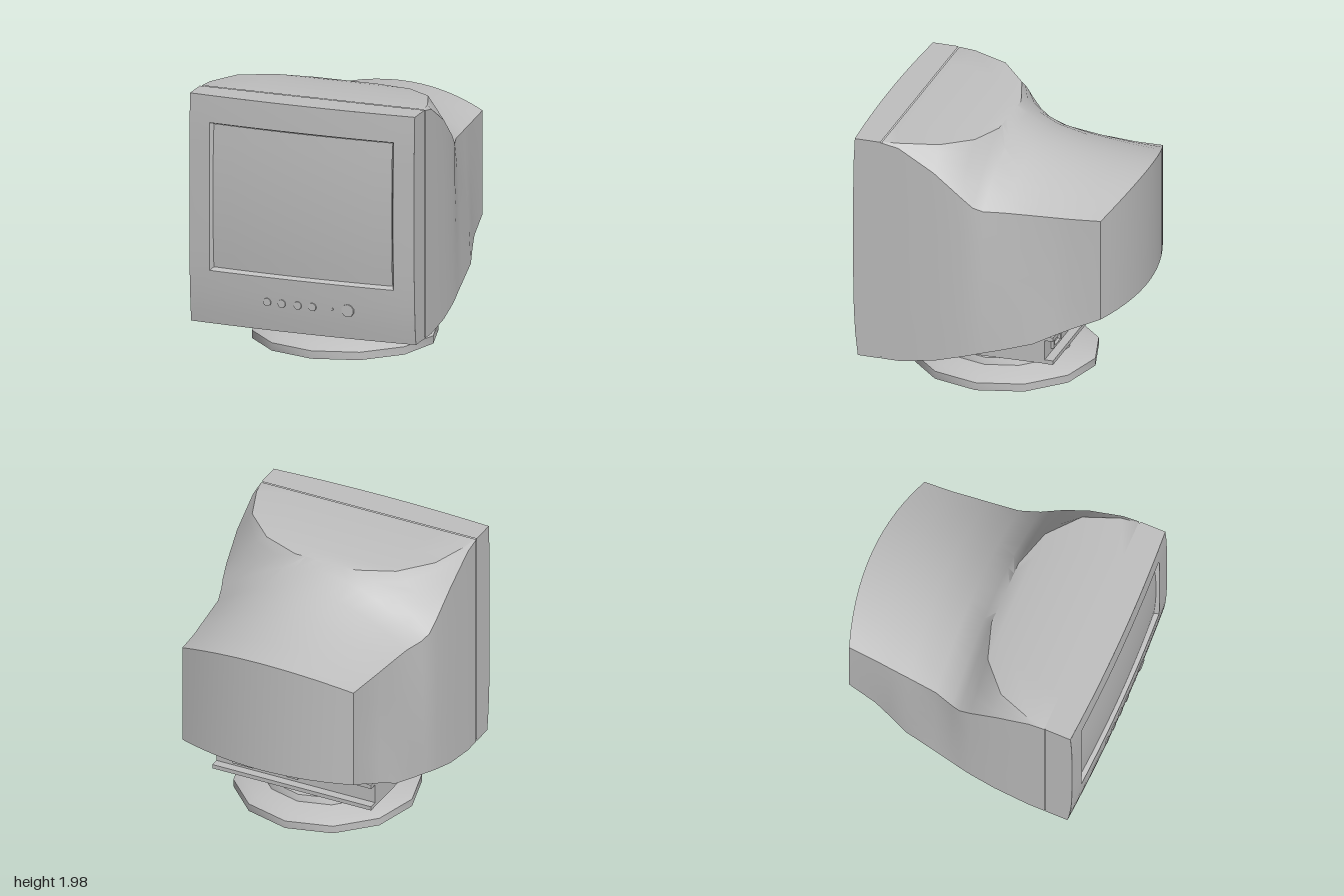
import * as THREE from 'three';
import { toCreasedNormals } from 'three/addons/utils/BufferGeometryUtils.js';

const casingGrey = new THREE.MeshStandardMaterial({ color: 0xc0c0c0 });
casingGrey.name = 'casing grey';

const clamp = THREE.MathUtils.clamp;

function part(name, geometry, parent, x = 0, y = 0, z = 0) {
  const mesh = new THREE.Mesh(geometry, casingGrey);
  mesh.name = name;
  mesh.position.set(x, y, z);
  parent.add(mesh);
  return mesh;
}

// Skin between rows of [x, y, z] points; skip(i, j) leaves a cell open
function loft(rows, closed = false, skip = () => false, crease = 0.6) {
  const n = rows[0].length, index = [];
  for (let i = 0; i < rows.length - 1; i++) {
    for (let j = 0; j < (closed ? n : n - 1); j++) {
      if (skip(i, j)) continue;
      const k = (j + 1) % n, a = i * n, b = a + n;
      index.push(a + j, b + j, a + k, a + k, b + j, b + k);
    }
  }
  const g = new THREE.BufferGeometry();
  g.setAttribute('position', new THREE.Float32BufferAttribute(rows.flat(2), 3));
  g.setIndex(index);
  return toCreasedNormals(g, crease);
}

const range = (a, b, n) => Array.from({ length: n + 1 }, (_, i) => a + (b - a) * i / n);

// Counter-clockwise subdivided rectangle
function rectRing(w, y0, y1, zAt, n = 10) {
  const pts = [];
  for (let i = 0; i < n; i++) pts.push([-w + 2 * w * i / n, y0]);
  for (let i = 0; i < n; i++) pts.push([w, y0 + (y1 - y0) * i / n]);
  for (let i = 0; i < n; i++) pts.push([w - 2 * w * i / n, y1]);
  for (let i = 0; i < n; i++) pts.push([-w, y1 - (y1 - y0) * i / n]);
  return pts.map(([x, y]) => [x, y, zAt(x, y)]);
}

// Gently domed front of the bezel and of the screen
const bezelZ = (x, y) => 1 - 0.03 * (x / 0.88) ** 2 - 0.036 * Math.abs((y - 1.22) / 0.98) ** 4;
const screenZ = (x, y) => 0.985 - 0.025 * (x / 0.7) ** 2 - 0.02 * ((y - 1.21) / 0.55) ** 2;

function makeBezel() {
  const g = new THREE.Group();
  g.name = 'bezel';
  const side = range(-0.72, 0.72, 10);
  const xs = [-0.88, -0.8, ...side, 0.8, 0.88];
  const ys = [...range(1.98, 1.775, 2), ...range(1.775, 0.65, 10).slice(1), ...range(0.65, 0.24, 4).slice(1)];
  const rows = ys.map(y => xs.map(x => [x, y, bezelZ(x, y)]));
  part('bezelFace', loft(rows, false, (i, j) => i >= 2 && i < 12 && j >= 2 && j < 12), g);
  part('bezelRim', loft([
    rectRing(0.88, 0.24, 1.98, bezelZ),
    rectRing(0.88, 0.24, 1.98, () => 0.76),
  ], true), g);
  part('screenSurround', loft([
    rectRing(0.7, 0.67, 1.76, (x, y) => screenZ(x, y) - 0.004),
    rectRing(0.72, 0.65, 1.775, bezelZ),
  ], true), g);
  part('screen', loft(range(1.76, 0.67, 10).map(y =>
    range(-0.7, 0.7, 10).map(x => [x, y, screenZ(x, y)]))), g);

  // Row of round controls under the screen: x, radius, sides
  const controls = [[-0.265, 0.033, 14], [-0.15, 0.033, 14], [-0.025, 0.033, 14],
    [0.09, 0.033, 14], [0.245, 0.011, 6], [0.365, 0.053, 10]];
  controls.forEach(([x, r, sides], i) => {
    const c = new THREE.CylinderGeometry(r * 0.9, r, 0.03, sides).rotateX(Math.PI / 2);
    const name = i === 5 ? 'powerButton' : i === 4 ? 'indicatorLight' : 'controlButton';
    part(name, c, g, x, 0.46, bezelZ(x, 0.46) - 0.006);
  });
  return g;
}

function makeBody() {
  const g = new THREE.Group();
  g.name = 'rearCasing';
  // z, lower half width, upper half width, bottom y, shoulder y, crown y, crown half width, fall-off power
  const sections = [
    [0.75, 0.88, 0.88, 0.24, 1.975, 1.98, 0.87, 1],
    [0.62, 0.88, 0.88, 0.24, 1.95, 1.98, 0.85, 1],
    [0.35, 0.875, 0.875, 0.28, 1.79, 1.965, 0.75, 1],
    [0.15, 0.865, 0.86, 0.335, 1.62, 1.94, 0.53, 1.15],
    [0.06, 0.855, 0.845, 0.36, 1.54, 1.922, 0.25, 1.4],
    [-0.01, 0.845, 0.82, 0.38, 1.51, 1.875, 0, 1.9],
    [-0.17, 0.825, 0.77, 0.42, 1.5, 1.78, 0, 2],
    [-0.43, 0.8, 0.745, 0.49, 1.5, 1.71, 0, 2],
    [-0.6, 0.755, 0.73, 0.56, 1.5, 1.68, 0, 2],
    [-0.75, 0.72, 0.715, 0.62, 1.5, 1.66, 0, 2],
    [-1, 0.7, 0.7, 0.72, 1.51, 1.635, 0, 2],
  ];
  const strips = sections.map(([z, wb, wt, yb, ys, yt, dw, power]) => {
    const knee = dw > 0 ? dw / wt : 0.4;
    const half = [...range(0, knee, 3), ...range(knee, 1, 4).slice(1)];
    const ts = [...half.slice(1).reverse().map(t => -t), ...half];
    const bow = t => z + 0.12 * t * t * clamp((-z - 0.1) / 0.9, 0, 1);
    const topY = t => ys + (yt - ys) * (1 - Math.max(0, (Math.abs(t) * wt - dw) / (wt - dw)) ** power);
    const bottom = ts.map(t => [t * wb, yb, bow(t)]);
    const top = ts.map(t => [t * wt, topY(t), bow(t)]);
    const wall = s => [0.25, 0.5, 0.75].map(f =>
      [s * (wb + (wt - wb) * f), yb + (ys - yb) * f, bow(1)]);
    return { bottom, top, ring: [...bottom, ...wall(1), ...top.slice().reverse(), ...wall(-1).reverse()] };
  });
  part('casingShell', loft(strips.map(s => s.ring), true), g);
  const last = strips[strips.length - 1];
  part('casingBack', loft([last.bottom, last.top]), g);
  // Core showing through the seam behind the bezel
  part('seamCore', new THREE.BoxGeometry(1.745, 1.72, 0.1), g, 0, 1.11, 0.76);
  return g;
}

function makePortBlock() {
  const g = new THREE.Group();
  g.name = 'portBlock';
  // Wedge under the casing, drawn as (z, y)
  const outline = [[0.4, 0.25], [0.27, 0.265], [-0.43, 0.275], [-0.43, 0.5], [0.3, 0.31]];
  const shape = new THREE.Shape(outline.map(p => new THREE.Vector2(...p)));
  const wedge = new THREE.ExtrudeGeometry(shape, { depth: 1.3, bevelEnabled: false });
  wedge.rotateY(-Math.PI / 2).translate(0.65, 0, 0);
  part('portWedge', wedge, g);
  for (const y of [0.29, 0.475]) part('portLip', new THREE.BoxGeometry(1.3, 0.032, 0.07), g, 0, y, -0.46);

  // Sockets: x, width, height
  for (const [x, w, h] of [[0.42, 0.17, 0.09], [0.02, 0.09, 0.08]]) {
    const s = new THREE.Shape();
    s.moveTo(-w / 2, -h / 2).lineTo(w / 2, -h / 2).lineTo(w / 2, h / 2).lineTo(-w / 2, h / 2).closePath();
    const hole = new THREE.Path();
    hole.moveTo(-w * 0.36, -h * 0.3).lineTo(-w * 0.36, h * 0.3).lineTo(w * 0.36, h * 0.3).lineTo(w * 0.36, -h * 0.3).closePath();
    s.holes.push(hole);
    part('socket', new THREE.ExtrudeGeometry(s, { depth: 0.025, bevelEnabled: false }), g, x, 0.38, -0.453);
  }
  return g;
}

function makeStand() {
  const g = new THREE.Group();
  g.name = 'stand';
  const turned = pts => toCreasedNormals(
    new THREE.LatheGeometry(pts.map(p => new THREE.Vector2(...p)), 12), 0.55);
  part('foot', turned([[0, 0], [0.69, 0], [0.69, 0.06], [0.62, 0.09], [0.49, 0.12], [0.475, 0.17], [0, 0.17]]), g);
  part('swivelNeck', turned([[0, 0.16], [0.43, 0.16], [0.455, 0.27], [0, 0.27]]), g);
  g.position.z = 0.09;
  return g;
}

export function createModel() {
  const model = new THREE.Group();
  model.name = 'monitor';
  model.add(makeBezel(), makeBody(), makePortBlock(), makeStand());
  return model;
}
